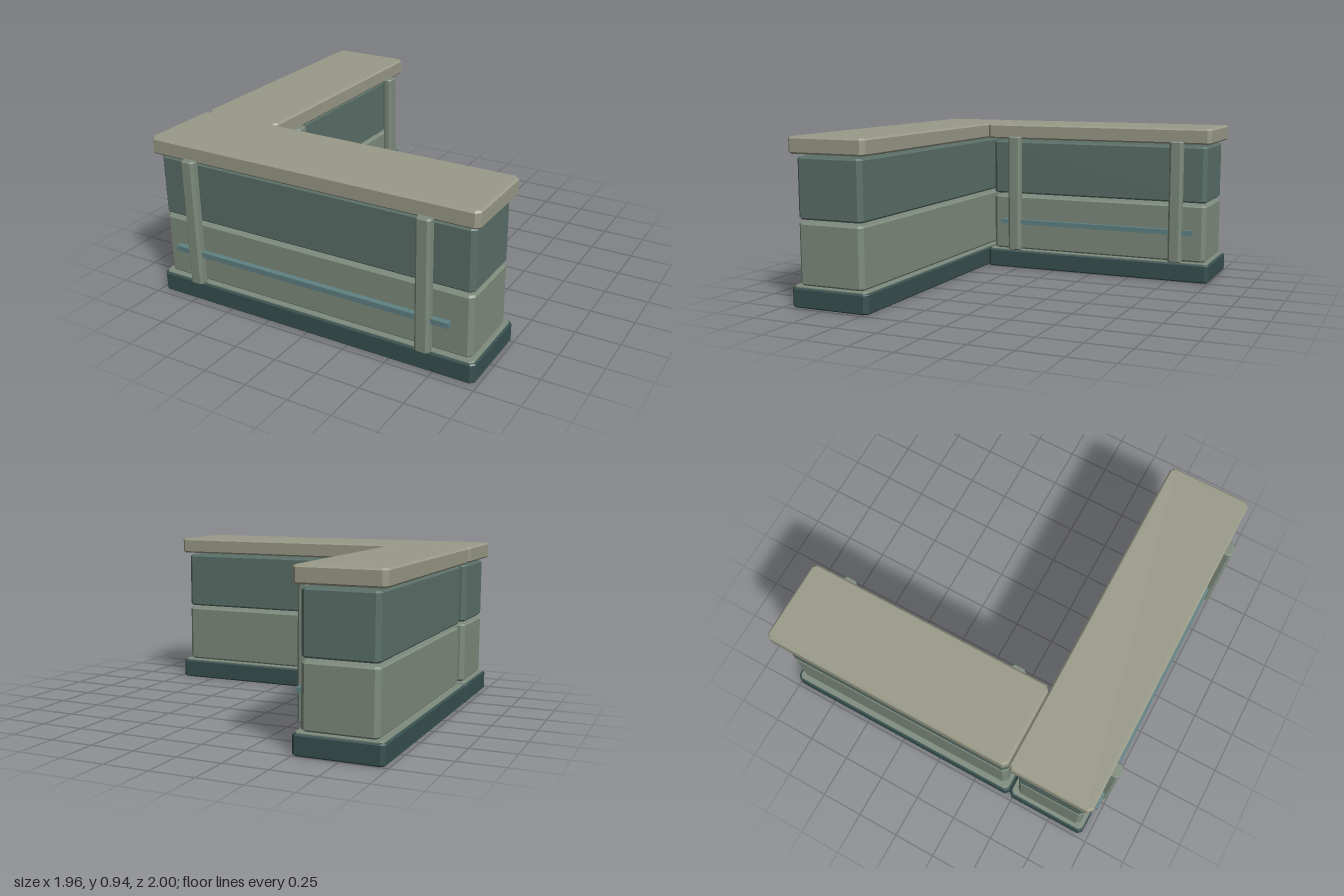
import * as THREE from 'three';

const paint = (color) => new THREE.MeshStandardMaterial({ color, flatShading: true });
const stone = paint(0x999a87);
const teal = paint(0x5a6f68);
const sage = paint(0x7e8b7d);
const dark = paint(0x37504f);
const steel = paint(0x5f8183);

// Block with cut vertical corners and a small bevel round top and bottom
function block(name, material, w, d, y0, y1, x, z, cut, bevel) {
  const a = w / 2, b = d / 2;
  const outline = new THREE.Shape([
    [a - cut, -b], [a, -b + cut], [a, b - cut], [a - cut, b],
    [-a + cut, b], [-a, b - cut], [-a, -b + cut], [-a + cut, -b],
  ].map(([px, py]) => new THREE.Vector2(px, py)));
  const geometry = new THREE.ExtrudeGeometry(outline, {
    depth: y1 - y0 - 2 * bevel,
    bevelEnabled: true,
    bevelThickness: bevel,
    bevelSize: bevel,
    bevelOffset: -bevel,
    bevelSegments: 1,
  });
  geometry.rotateX(-Math.PI / 2);
  const mesh = new THREE.Mesh(geometry, material);
  mesh.name = name;
  mesh.position.set(x, y0 + bevel, z);
  return mesh;
}

// One straight counter run, facing +z
function counterRun(name, length, postX, railLength) {
  const run = new THREE.Group();
  run.name = name;
  run.add(
    block('plinth', dark, length, 0.485, 0, 0.112, 0, 0, 0.022, 0.008),
    block('plinthLedge', sage, length - 0.02, 0.465, 0.108, 0.12, 0, 0, 0.02, 0.003),
    block('lowerPanel', sage, length - 0.06, 0.41, 0.12, 0.468, 0, 0.003, 0.024, 0.01),
    block('upperPanel', teal, length - 0.06, 0.41, 0.485, 0.826, 0, 0.003, 0.024, 0.01),
    block('countertop', stone, length, 0.485, 0.843, 0.936, 0, 0, 0.024, 0.01),
  );
  // Upright posts on the front
  for (const side of [-1, 1]) {
    run.add(block('post', sage, 0.082, 0.06, 0.124, 0.858, side * postX, 0.2525, 0.014, 0.006));
  }
  // Foot rail through the posts
  const rail = new THREE.Mesh(new THREE.BoxGeometry(railLength, 0.03, 0.032), steel);
  rail.name = 'footRail';
  rail.position.set(0, 0.306, 0.244);
  run.add(rail);
  return run;
}

export function createModel() {
  const model = new THREE.Group();
  model.name = 'cornerCounter';

  const front = counterRun('frontCounter', 1.96, 0.706, 1.69);
  front.position.z = 0.7175;

  // Shorter run turned to form the corner
  const side = counterRun('sideCounter', 1.47, 0.531, 1.265);
  side.rotation.y = Math.PI / 2;
  side.position.set(-0.7375, 0, -0.265);

  model.add(front, side);
  return model;
}
